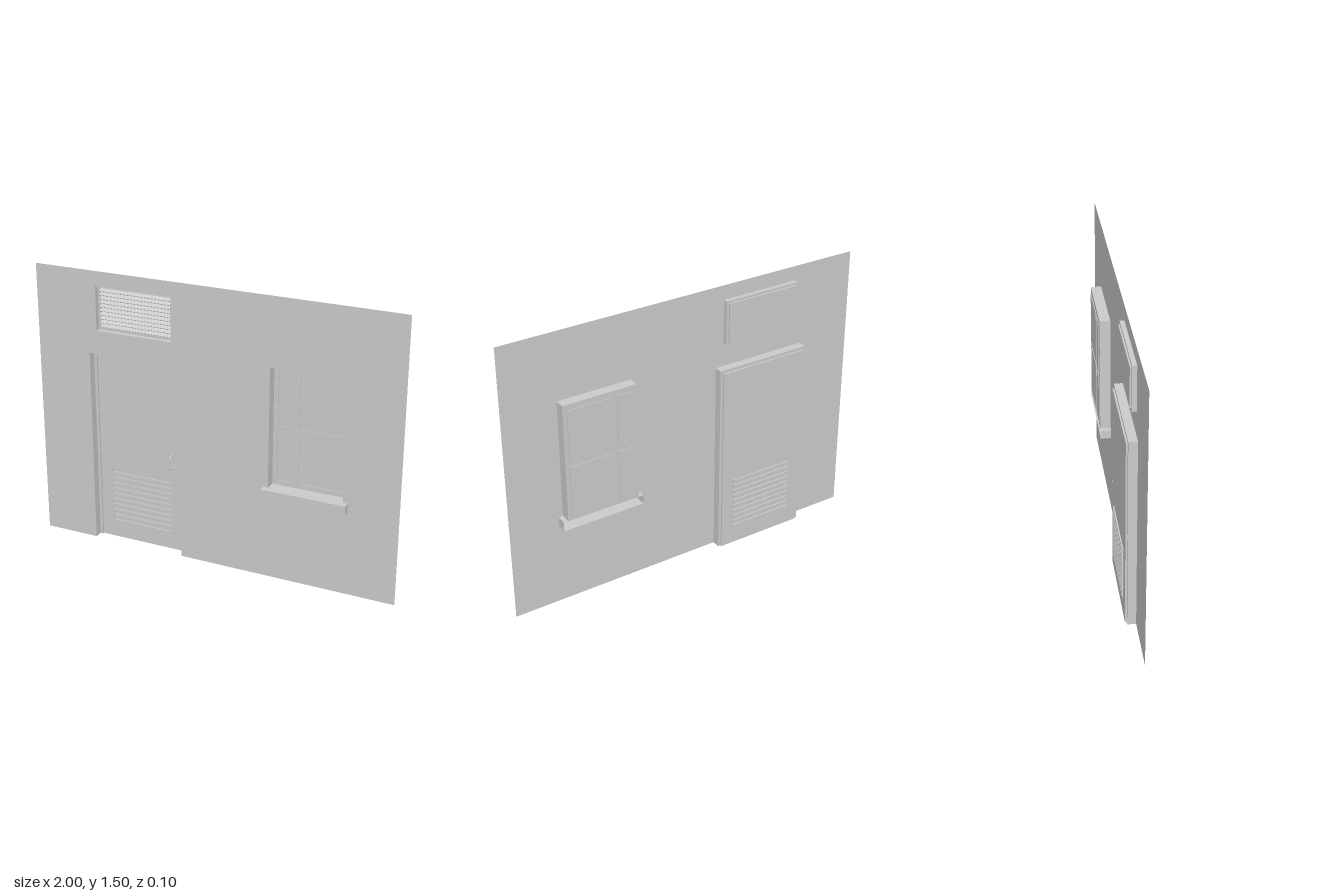
import * as THREE from 'three';

const material = new THREE.MeshStandardMaterial({ color: 0xcccccc, side: THREE.DoubleSide, flatShading: true });
const WALL_Z = 0.012;

// Rectangles are [x0, x1, y0, y1]
const trace = (path, [x0, x1, y0, y1]) =>
  path.moveTo(x0, y0).lineTo(x1, y0).lineTo(x1, y1).lineTo(x0, y1).closePath();
const inset = ([x0, x1, y0, y1], d, bottom = d) => [x0 + d, x1 - d, y0 + bottom, y1 - d];

function add(parent, name, geometry, x = 0, y = 0, z = 0) {
  const mesh = new THREE.Mesh(geometry, material);
  mesh.name = name;
  mesh.position.set(x, y, z);
  parent.add(mesh);
  return mesh;
}

// Flat upright sheet with rectangular openings
function sheet(parent, name, rect, holes, z) {
  const shape = new THREE.Shape();
  trace(shape, rect);
  for (const h of holes) {
    const path = new THREE.Path();
    trace(path, h);
    shape.holes.push(path);
  }
  return add(parent, name, new THREE.ShapeGeometry(shape), 0, 0, z);
}

// Four-sided (or three-sided) sleeve running from z0 back to z1
function sleeve(parent, name, [x0, x1, y0, y1], z0, z1, hasBottom = true) {
  const corners = [[x0, y0], [x0, y1], [x1, y1], [x1, y0]];
  const pos = [], index = [];
  for (let i = 0; i < (hasBottom ? 4 : 3); i++) {
    const a = corners[i], b = corners[(i + 1) % 4], n = pos.length / 3;
    pos.push(...a, z0, ...b, z0, ...b, z1, ...a, z1);
    index.push(n, n + 1, n + 2, n, n + 2, n + 3);
  }
  const g = new THREE.BufferGeometry();
  g.setAttribute('position', new THREE.Float32BufferAttribute(pos, 3));
  g.setIndex(index);
  g.computeVertexNormals();
  return add(parent, name, g);
}

function section(parent, name) {
  const g = new THREE.Group();
  g.name = name;
  parent.add(g);
  return g;
}

function buildWall(root, door, openings) {
  // The doorway is a notch, so the wall outline runs around it
  const [x0, x1, , top] = door;
  const shape = new THREE.Shape();
  [[-1, 0], [x0, 0], [x0, top], [x1, top], [x1, 0], [1, 0], [1, 1.5], [-1, 1.5]]
    .forEach(([x, y], i) => (i ? shape.lineTo(x, y) : shape.moveTo(x, y)));
  for (const r of openings) {
    const path = new THREE.Path();
    path.setFromPoints(r.map(([x, y]) => new THREE.Vector2(x, y)));
    shape.holes.push(path);
  }
  add(root, 'wall', new THREE.ShapeGeometry(shape), 0, 0, WALL_Z);
}

function buildDoor(root, rect) {
  const door = section(root, 'door');
  const inner = inset(rect, 0.016, 0);
  const stepZ = -0.032, doorZ = -0.041;
  // Stepped jamb
  sleeve(door, 'doorReveal', rect, WALL_Z, stepZ, false);
  const [a, b, , c] = rect, [d, e, , f] = inner;
  sheet(door, 'jambLeft', [e, b, 0, c], [], stepZ);
  sheet(door, 'jambRight', [a, d, 0, c], [], stepZ);
  sheet(door, 'jambHead', [d, e, f, c], [], stepZ);
  sleeve(door, 'doorStop', inner, stepZ, doorZ, false);

  // Leaf with a louvre of ten recessed slots
  const slots = [];
  for (let i = 0; i < 10; i++) {
    const y = 0.1 + i * 0.0315;
    slots.push([-0.617, -0.263, y, y + 0.016]);
  }
  sheet(door, 'doorLeaf', inner, slots, doorZ);
  for (const s of slots) {
    sleeve(door, 'louvreSlot', s, doorZ, -0.048);
    sheet(door, 'louvreBack', s, [], -0.048);
  }

  // Pull handle and lock
  const grip = new THREE.CurvePath();
  const pts = [[0.475, doorZ], [0.475, -0.015], [0.545, -0.015], [0.545, doorZ]]
    .map(([y, z]) => new THREE.Vector3(-0.255, y, z));
  for (let i = 0; i < 3; i++) grip.add(new THREE.LineCurve3(pts[i], pts[i + 1]));
  add(door, 'handle', new THREE.TubeGeometry(grip, 24, 0.005, 8));
  const lock = add(door, 'lock', new THREE.CylinderGeometry(0.006, 0.006, 0.006, 12), -0.21, 0.512, doorZ);
  lock.rotation.x = Math.PI / 2;
}

function buildWindow(root, rect, sill) {
  const win = section(root, 'window');
  const frameZ = -0.043, paneZ = -0.047;
  sleeve(win, 'windowReveal', rect, WALL_Z, frameZ);
  // Four panes set back from the frame, divided by mullion and transom
  const panes = [];
  for (const [x0, x1] of [[0.335, 0.42], [0.45, 0.688]])
    for (const [y0, y1] of [[0.525, 0.803], [0.819, 1.11]]) panes.push([x0, x1, y0, y1]);
  sheet(win, 'windowFrame', rect, panes, frameZ);
  for (const p of panes) {
    sleeve(win, 'paneEdge', p, frameZ, paneZ);
    sheet(win, 'pane', p, [], paneZ);
  }
  // Sill is a hollow shell, open at the back
  sleeve(win, 'sillShell', sill, 0.048, frameZ);
  sheet(win, 'sillFront', sill, [], 0.048);
}

function buildVent(root, rect) {
  const vent = section(root, 'vent');
  const inner = inset(rect, 0.013), stepZ = -0.011, backZ = -0.019;
  sleeve(vent, 'ventReveal', rect, 0.015, stepZ);
  sheet(vent, 'ventFrame', rect, [inner], stepZ);
  sleeve(vent, 'ventRecess', inner, stepZ, backZ);
  sheet(vent, 'ventBack', inner, [], backZ);
  // Tilted slats
  const [x0, x1, y0, y1] = inner, count = 10, pitch = (y1 - y0) / count;
  for (let i = 0; i < count; i++) {
    const slat = add(vent, 'ventSlat', new THREE.BoxGeometry(x1 - x0, 0.002, 0.019),
      (x0 + x1) / 2, y0 + (i + 0.5) * pitch, -0.011);
    slat.rotation.x = 0.7;
  }
}

export function createModel() {
  const root = new THREE.Group();
  root.name = 'wallWithDoorAndWindow';
  const door = [-0.7, -0.18, 0, 1.06];
  const win = [0.31, 0.71, 0.5, 1.14];
  const sill = [0.285, 0.735, 0.45, 0.5];
  const vent = [-0.652, -0.225, 1.187, 1.422];

  buildWall(root, door, [
    // Window and sill share one opening
    [[sill[0], sill[2]], [sill[1], sill[2]], [sill[1], sill[3]], [win[1], win[2]],
      [win[1], win[3]], [win[0], win[3]], [win[0], win[2]], [sill[0], sill[3]]],
    [[vent[0], vent[2]], [vent[1], vent[2]], [vent[1], vent[3]], [vent[0], vent[3]]],
  ]);
  buildDoor(root, door);
  buildWindow(root, win, sill);
  buildVent(root, vent);
  return root;
}
